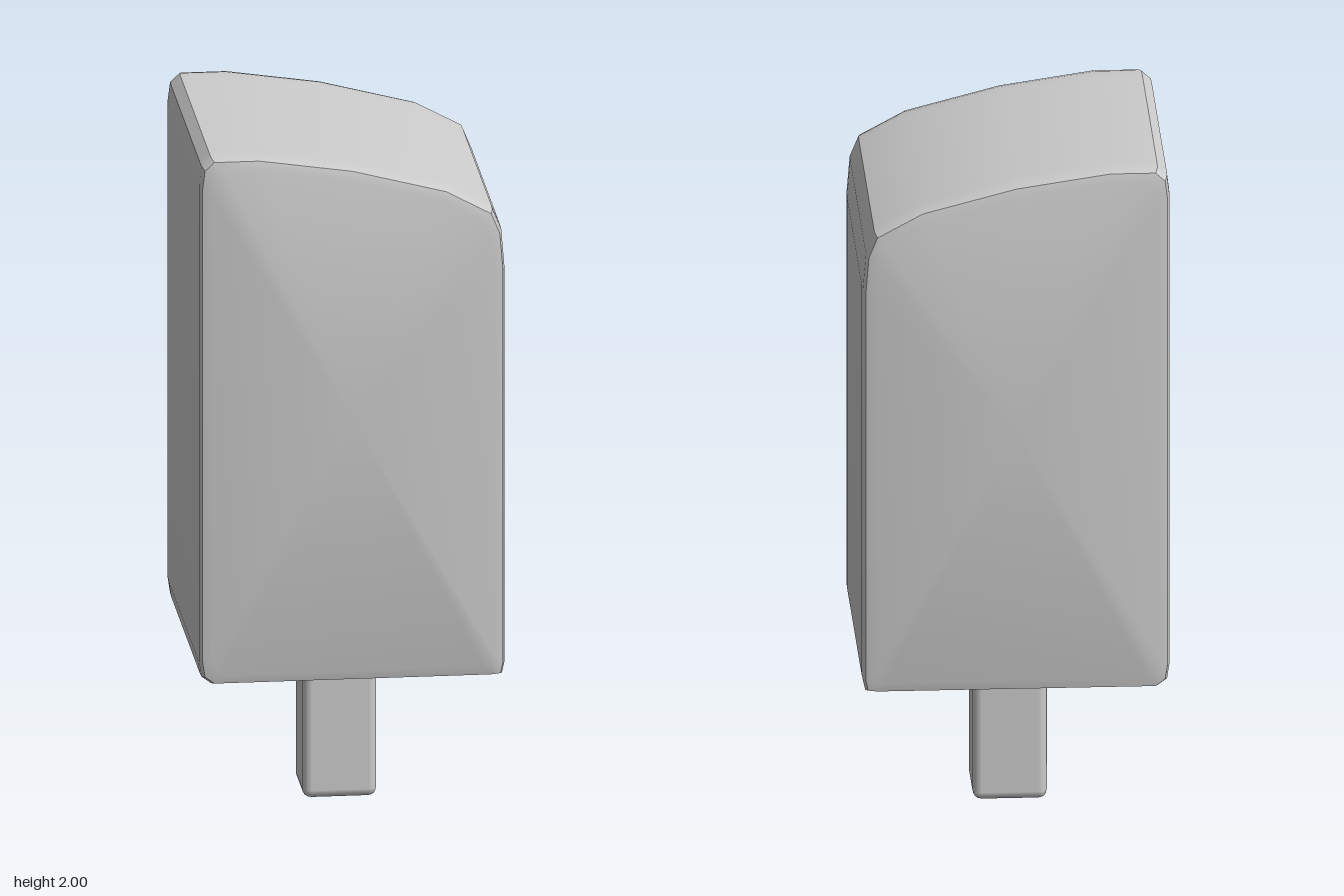
import * as THREE from 'three';
import { toCreasedNormals } from 'three/addons/utils/BufferGeometryUtils.js';
import { RoundedBoxGeometry } from 'three/addons/geometries/RoundedBoxGeometry.js';

// Block outline, counter-clockwise seen from the front, with a sloping curved top
const OUTLINE = [
  [-0.4, 0.445], [0.4, 0.445], [0.427, 0.448], [0.434, 0.48],
  [0.434, 1.65], [0.425, 1.76], [0.4, 1.82], [0.27, 1.89], [0, 1.96],
  [-0.27, 2], [-0.4, 2], [-0.427, 1.975], [-0.434, 1.92],
  [-0.434, 0.51], [-0.427, 0.465],
];

// Depth of each cross-section and how far its outline is drawn in
const SECTIONS = [
  [-0.434, 0.034], [-0.427, 0.008], [-0.4, 0.001], [-0.36, 0],
  [0.36, 0], [0.4, 0.001], [0.427, 0.008], [0.434, 0.034],
];

function blockGeometry() {
  const positions = [], index = [];
  const n = OUTLINE.length, midY = 1.22;
  for (const [z, inset] of SECTIONS) {
    for (const [x, y] of OUTLINE) {
      positions.push(x * (1 - inset / 0.434), midY + (y - midY) * (1 - inset / 0.78), z);
    }
  }
  const last = (SECTIONS.length - 1) * n;
  const backCentre = positions.length / 3, frontCentre = backCentre + 1;
  positions.push(0, midY, SECTIONS[0][0], 0, midY, SECTIONS[SECTIONS.length - 1][0]);
  for (let i = 0; i < n; i++) {
    const j = (i + 1) % n;
    for (let k = 0; k < last; k += n) {
      index.push(k + i, k + j, k + n + j, k + i, k + n + j, k + n + i);
    }
    index.push(backCentre, j, i, frontCentre, last + i, last + j);
  }
  const geometry = new THREE.BufferGeometry();
  geometry.setAttribute('position', new THREE.Float32BufferAttribute(positions, 3));
  geometry.setIndex(index);
  return toCreasedNormals(geometry, 0.6);
}

export function createModel() {
  const group = new THREE.Group();
  const material = new THREE.MeshStandardMaterial({ color: 0xcccccc });

  // Tall block with softened edges
  const block = new THREE.Mesh(blockGeometry(), material);
  block.name = 'block';

  // Short square stick below
  const stick = new THREE.Mesh(new RoundedBoxGeometry(0.21, 0.445, 0.21, 2, 0.025), material);
  stick.name = 'stick';
  stick.position.y = 0.2225;

  group.add(block, stick);
  return group;
}
